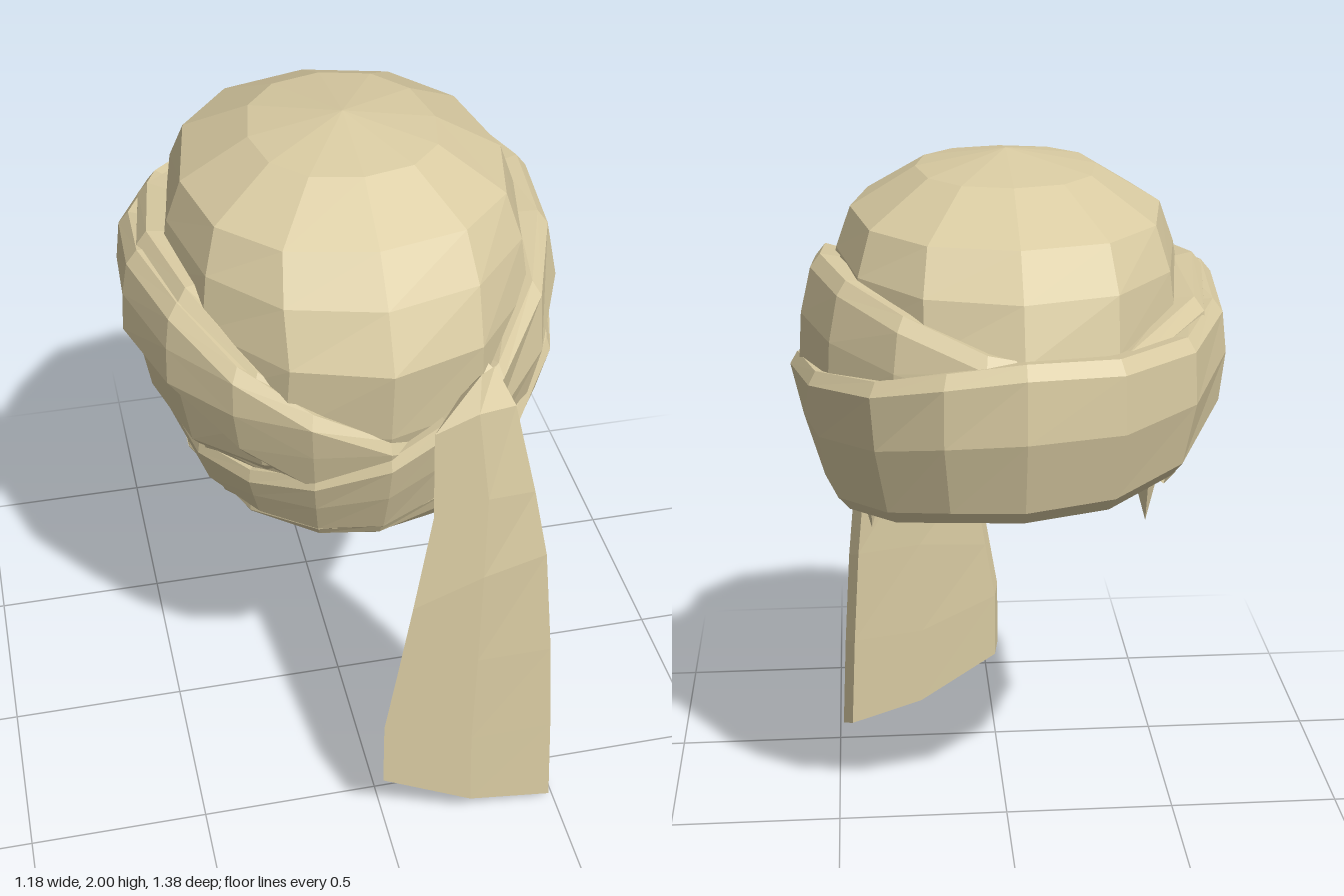
import * as THREE from 'three';

const rad = THREE.MathUtils.degToRad;

// Faceted surface from rows of points
function grid(rows, closed = false) {
  const n = rows[0].length, pos = [], idx = [];
  rows.forEach(r => r.forEach(p => pos.push(...p)));
  for (let i = 0; i < rows.length - 1; i++) {
    for (let j = 0; j < (closed ? n : n - 1); j++) {
      const k = (j + 1) % n;
      const a = i * n + j, b = i * n + k, c = (i + 1) * n + j, d = (i + 1) * n + k;
      idx.push(a, c, b, b, c, d);
    }
  }
  const g = new THREE.BufferGeometry();
  g.setAttribute('position', new THREE.Float32BufferAttribute(pos, 3));
  g.setIndex(idx);
  const flat = g.toNonIndexed();
  flat.computeVertexNormals();
  return flat;
}

// How far the wrapped cloth bulges at each height
const bulge = [
  [0.88, 0.5], [0.93, 0.65], [1.0, 0.78], [1.06, 0.83], [1.2, 0.91],
  [1.42, 1], [1.52, 1], [1.62, 0.975], [1.76, 0.91],
];
function bulgeAt(y) {
  if (y <= bulge[0][0]) return bulge[0][1];
  for (let i = 1; i < bulge.length; i++) {
    const [y0, f0] = bulge[i - 1], [y1, f1] = bulge[i];
    if (y <= y1) return THREE.MathUtils.lerp(f0, f1, (y - y0) / (y1 - y0));
  }
  return bulge[bulge.length - 1][1];
}

// Cloth strip winding round the head; keys are [angle, top, bottom, scale], angle 0 is the front
function wrap(keys) {
  return grid(keys.map(([deg, top, bottom, s]) => {
    const a = rad(deg);
    const at = (y, k) => {
      const f = bulgeAt(y) * s * k;
      return [0.588 * f * Math.sin(a), y, -0.01 + 0.675 * f * Math.cos(a)];
    };
    return [
      at(top - 0.01, 0.86), at(top, 0.965), at(top - 0.035, 1),
      at(top * 0.55 + bottom * 0.45, 1), at(bottom + 0.04, 1), at(bottom, 0.96), at(bottom + 0.02, 0.86),
    ];
  }));
}

export function createModel() {
  const group = new THREE.Group();
  group.name = 'headWrap';
  const cloth = new THREE.MeshStandardMaterial({ color: 0xd9cba2, flatShading: true, side: THREE.DoubleSide });
  cloth.name = 'tan cloth';
  const add = (name, geometry) => {
    const m = new THREE.Mesh(geometry, cloth);
    m.name = name;
    group.add(m);
    return m;
  };

  // Dome rows: height, half width, front z, back z, lift towards the back, squareness (1 is round)
  const power = (v, e) => Math.sign(v) * Math.abs(v) ** e;
  const domeRows = [
    [2.0, 0, 0.05, 0.05, 0, 1],
    [1.955, 0.24, 0.3, -0.24, 0, 0.88],
    [1.85, 0.415, 0.47, -0.46, 0, 0.88],
    [1.74, 0.455, 0.565, -0.56, 0, 0.92],
    [1.6, 0.48, 0.64, -0.61, 0, 1],
    [1.4, 0.5, 0.62, -0.61, 0, 1],
    [1.2, 0.49, 0.56, -0.58, 0.14, 1],
    [1.0, 0.44, 0.46, -0.56, 0.29, 1],
    [0.88, 0.41, 0.31, -0.52, 0.38, 1],
  ].map(([y, rx, zf, zb, lift, e]) => Array.from({ length: 12 }, (_, i) => {
    const a = rad(i * 30), c = power(Math.cos(a), e);
    return [rx * power(Math.sin(a), e), y + lift * ((1 - c) / 2) ** 1.3, 0.05 + c * (c > 0 ? zf - 0.05 : 0.05 - zb)];
  }));
  add('dome', grid(domeRows, true));

  // Lining fanned from the nape to the rim
  const rim = domeRows[domeRows.length - 1];
  add('lining', grid([rim, rim.map(() => [0, 1.29, -0.47])], true));

  // Long outer strip: starts low on one side, climbs round the back and returns to the front
  add('outerWrap', wrap([
    [-105, 1.2, 1.12, 0.9], [-75, 1.1, 1.03, 0.93], [-45, 1.04, 0.95, 0.96], [-20, 1.06, 0.92, 0.98],
    [0, 1.08, 0.92, 0.98], [25, 1.16, 0.93, 0.98], [45, 1.27, 0.95, 1], [65, 1.38, 1.0, 1],
    [90, 1.47, 1.07, 1], [115, 1.5, 1.1, 1], [140, 1.54, 1.14, 1], [160, 1.59, 1.18, 1],
    [180, 1.62, 1.19, 1], [205, 1.61, 1.2, 1], [230, 1.61, 1.23, 1], [255, 1.64, 1.32, 1],
    [278, 1.68, 1.41, 1.01], [300, 1.66, 1.4, 1], [320, 1.57, 1.28, 0.98], [340, 1.48, 1.18, 0.97],
    [360, 1.39, 1.12, 0.97], [375, 1.34, 1.12, 0.93],
  ]));

  // Middle strip crossing the front and tucking in behind the outer one
  add('middleWrap', wrap([
    [-120, 1.32, 1.16, 0.92], [-90, 1.24, 1.08, 0.94], [-60, 1.2, 1.02, 0.96], [-40, 1.21, 1.0, 0.97],
    [-20, 1.26, 1.0, 0.99], [0, 1.34, 1.02, 1], [15, 1.42, 1.08, 0.98], [32, 1.52, 1.1, 0.97],
    [52, 1.64, 1.2, 0.97], [72, 1.72, 1.3, 0.97], [95, 1.75, 1.4, 0.96], [120, 1.74, 1.4, 0.95],
    [145, 1.7, 1.4, 0.95], [170, 1.63, 1.4, 0.95], [195, 1.58, 1.4, 0.93],
  ]));

  // Inner fold showing above and below the outer strip on the other side
  add('innerFold', wrap([
    [-150, 1.6, 1.3, 0.93], [-115, 1.67, 1.24, 0.95], [-85, 1.71, 1.19, 0.96],
    [-60, 1.69, 1.18, 0.96], [-35, 1.56, 1.22, 0.95], [-10, 1.42, 1.26, 0.95],
  ]));

  // Hanging tail rows: left x, left y, right x, right y, front shift, back z
  const tailRows = [
    [0.18, 1.45, 0.28, 1.51, -0.1, 0.51],
    [0.1, 1.39, 0.32, 1.43, -0.035, 0.52],
    [0.1, 1.14, 0.38, 1.16, -0.015, 0.53],
    [0.05, 0.85, 0.42, 0.95, 0, 0.54],
    [0.01, 0.6, 0.455, 0.6, 0, 0.54],
    [-0.02, 0.42, 0.475, 0.3, 0, 0.54],
    [-0.02, 0.21, 0.49, 0.005, 0, 0.54],
  ].map(([xl, yl, xr, yr, s, zb]) => {
    const xm = (xl + xr) / 2, ym = (yl + yr) / 2 - (yl > yr ? 0.03 : -0.03);
    return [
      [xl, yl + 0.03, 0.685 + s], [xm, ym + 0.03, 0.69 + s], [xr - 0.005, yr + 0.02, 0.65 + s],
      [xr, yr, 0.6 + s / 2], [xr - 0.03, yr + 0.03, zb],
      [xm, ym, 0.6 + s / 2], [xl + 0.01, yl, 0.655 + s],
    ];
  });
  const cap = r => r.map(() => [0, 1, 2].map(k => r.reduce((t, p) => t + p[k], 0) / r.length));
  add('hangingTail', grid([cap(tailRows[0]), ...tailRows, cap(tailRows[6])], true));

  // Small pointed cloth ends under each side
  for (const side of [-1, 1]) {
    const tip = add('clothEnd', new THREE.ConeGeometry(0.04, 0.13, 3));
    tip.rotation.x = Math.PI;
    tip.position.set(side * 0.38, 1.045, -0.09);
  }
  return group;
}
